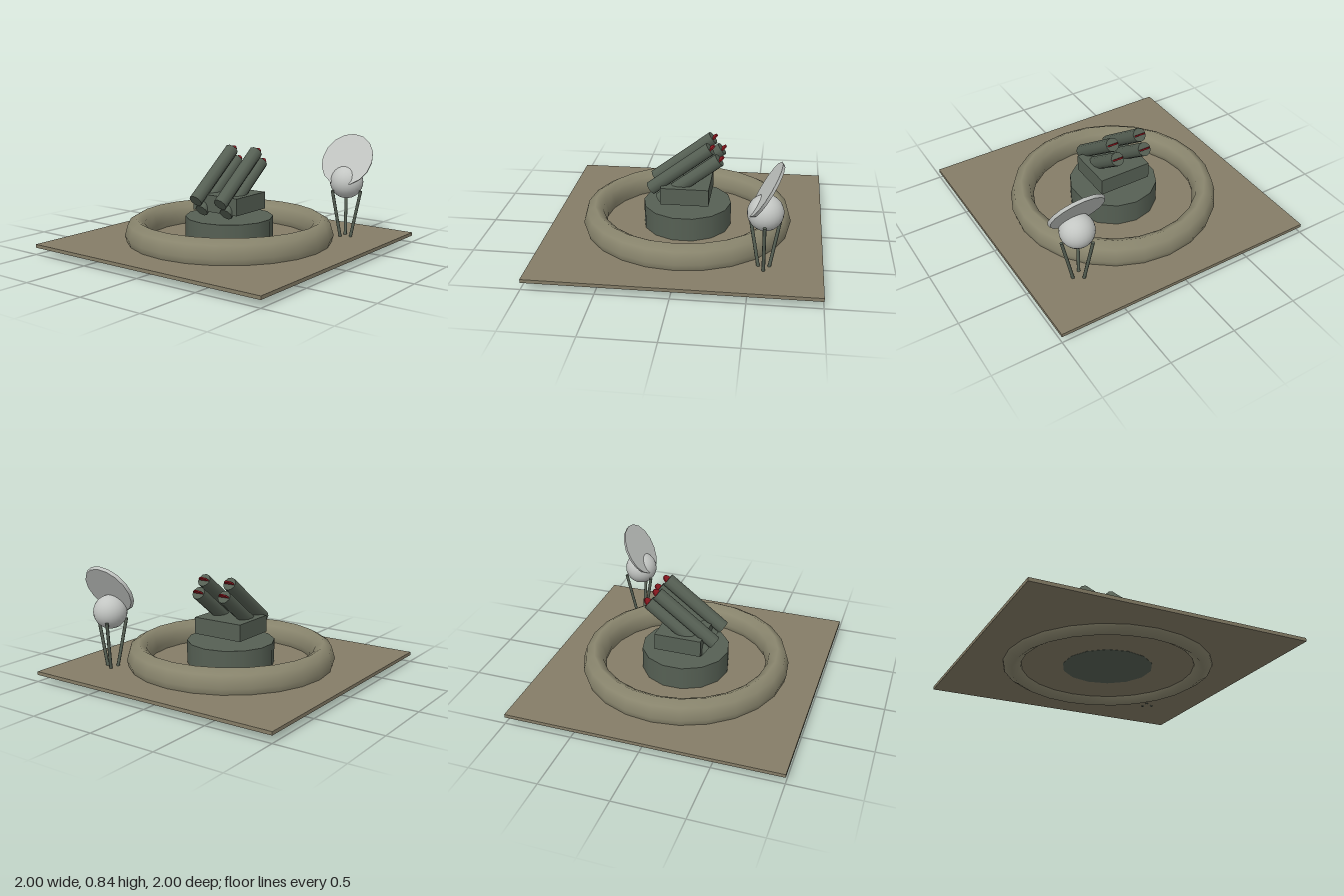
import * as THREE from 'three';

const material = (name, color) => {
  const m = new THREE.MeshStandardMaterial({ color });
  m.name = name;
  return m;
};

export function createModel() {
  const earth = material('earth', 0x857d67);
  const sand = material('berm earth', 0x8a866e);
  const green = material('army green', 0x566054);
  const red = material('missile red', 0x8e1820);
  const grey = material('radar grey', 0xc3c6c3);

  const model = new THREE.Group();
  model.name = 'missileSite';
  const add = (parent, name, geometry, mat, x = 0, y = 0, z = 0) => {
    const mesh = new THREE.Mesh(geometry, mat);
    mesh.name = name;
    mesh.position.set(x, y, z);
    parent.add(mesh);
    return mesh;
  };

  // Ground plate and the ring berm, taller than it is wide
  add(model, 'groundPlate', new THREE.BoxGeometry(2, 0.025, 2), earth, 0, 0.0635, 0);
  const ring = new THREE.TorusGeometry(0.686, 0.086, 8, 24);
  ring.rotateX(-Math.PI / 2).scale(1, 0.1225 / 0.086, 1);
  add(model, 'ringBerm', ring, sand, 0, 0.1225, 0);

  // Turret
  add(model, 'turretBase', new THREE.CylinderGeometry(0.325, 0.325, 0.2, 14), green, 0, 0.1495, 0);
  add(model, 'launcherBlock', new THREE.BoxGeometry(0.4, 0.125, 0.35), green, 0, 0.3625, 0);

  // Four launch tubes pointing up and back, each with a flat red tip
  const tube = new THREE.CylinderGeometry(0.05, 0.05, 0.543, 10);
  const tip = new THREE.CylinderGeometry(0.04, 0.04, 0.01, 12).rotateX(Math.PI / 2);
  for (const x of [-0.112, 0.112]) {
    for (const [y, z] of [[0.55, 0.039], [0.467, -0.028]]) {
      const launcher = new THREE.Group();
      launcher.name = 'launchTube';
      launcher.position.set(x, y, z);
      launcher.rotation.x = -0.921;
      add(launcher, 'tube', tube, green);
      add(launcher, 'missileTip', tip, red, 0, 0.2715, 0);
      model.add(launcher);
    }
  }

  // Radar on a tripod
  const radar = new THREE.Group();
  radar.name = 'radar';
  radar.position.set(0.645, 0, -0.597);
  model.add(radar);
  add(radar, 'radarBall', new THREE.SphereGeometry(0.123, 24, 16), grey, 0, 0.49, 0);
  const dish = add(radar, 'radarDish', new THREE.CylinderGeometry(0.208, 0.198, 0.022, 16), grey, 0, 0.652, -0.006);
  dish.rotation.x = Math.PI / 3;

  // Legs lean inwards towards the ground
  for (let i = 0; i < 3; i++) {
    const a = (i * Math.PI * 2) / 3;
    const top = new THREE.Vector3(0.12 * Math.cos(a), 0.432, 0.12 * Math.sin(a));
    const foot = new THREE.Vector3(0.038 * Math.cos(a), 0.047, 0.038 * Math.sin(a));
    const dir = top.clone().sub(foot);
    const leg = add(radar, 'tripodLeg', new THREE.CylinderGeometry(0.012, 0.012, dir.length(), 8), green);
    leg.position.copy(top).add(foot).multiplyScalar(0.5);
    leg.quaternion.setFromUnitVectors(new THREE.Vector3(0, 1, 0), dir.normalize());
  }
  return model;
}
